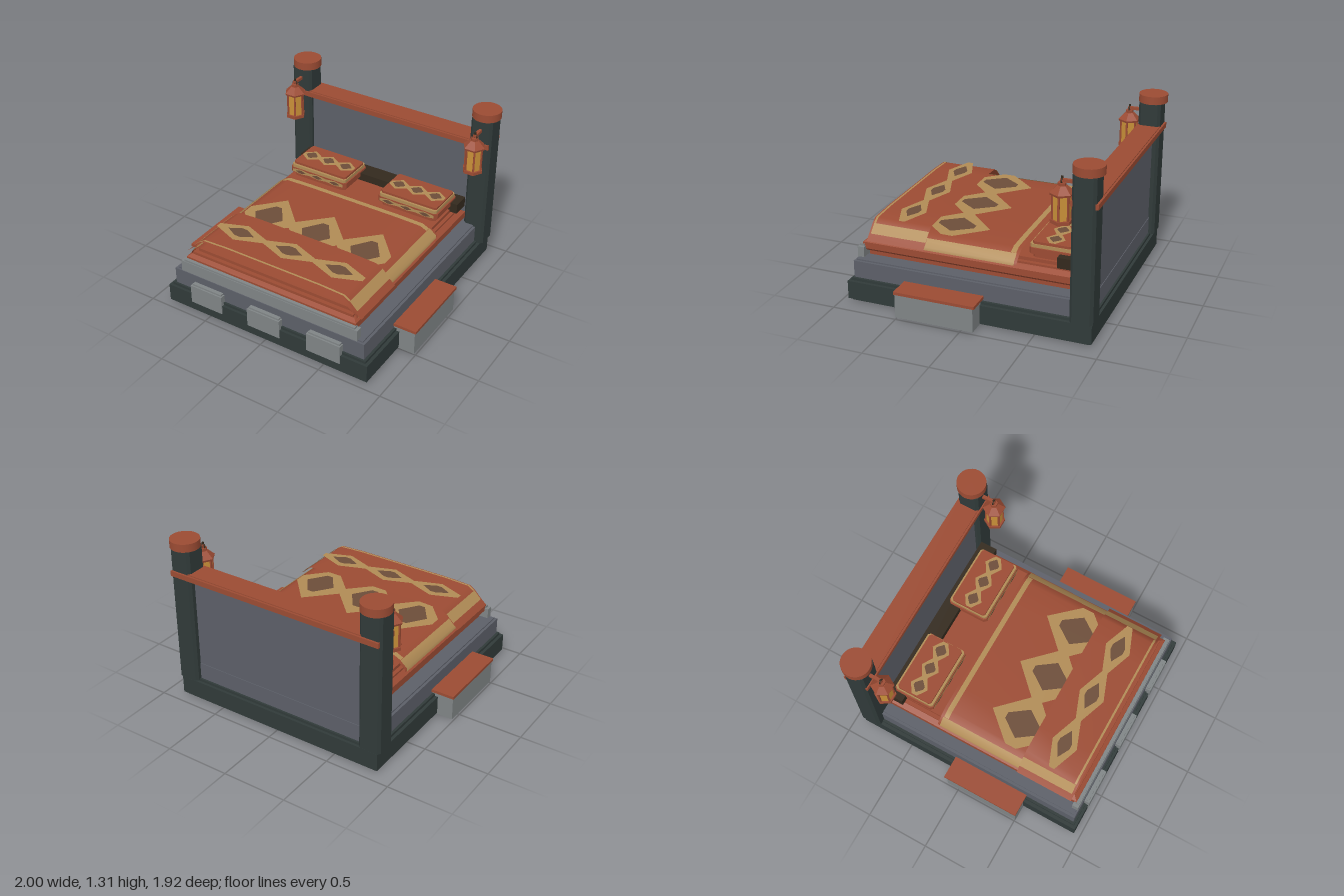
import * as THREE from 'three';

const mat = (name, color, side = THREE.FrontSide) =>
  Object.assign(new THREE.MeshStandardMaterial({ color, side }), { name });

export function createModel() {
  const root = new THREE.Group();
  root.name = 'bed';
  const dark = mat('dark stone', 0x303a39);
  const slate = mat('slate', 0x5c5f68);
  const stone = mat('light stone', 0x7f8485);
  const clay = mat('terracotta', 0x9b4b33);
  const cloth = mat('terracotta cloth', 0x9b4b33, THREE.DoubleSide);
  const tan = mat('tan weave', 0xb08b55, THREE.DoubleSide);
  const brown = mat('brown weave', 0x6c4d39, THREE.DoubleSide);
  const amber = mat('amber glass', 0xc99038);
  const shade = mat('dark wood', 0x33291d);

  const add = (name, geo, m, parent = root) => {
    const mesh = new THREE.Mesh(geo, m);
    mesh.name = name;
    parent.add(mesh);
    return mesh;
  };
  // Box given by its minimum and maximum on each axis
  const box = (name, m, x0, x1, y0, y1, z0, z1, parent = root) =>
    add(name, new THREE.BoxGeometry(x1 - x0, y1 - y0, z1 - z0)
      .translate((x0 + x1) / 2, (y0 + y1) / 2, (z0 + z1) / 2), m, parent);
  // Upright block with chamfered corners
  const block = (name, m, x, z, w, d, y0, y1, c, parent = root) => {
    const a = w / 2, b = d / 2;
    const s = new THREE.Shape([[a, b - c], [a - c, b], [c - a, b], [-a, b - c], [-a, c - b],
      [c - a, -b], [a - c, -b], [a, c - b]].map(p => new THREE.Vector2(...p)));
    const g = new THREE.ExtrudeGeometry(s, { depth: y1 - y0, bevelEnabled: false });
    return add(name, g.rotateX(-Math.PI / 2).translate(x, y0, z), m, parent);
  };
  // Thin sheet following a cross-section [x, y] and running from z0 to z1
  const sheet = (name, m, pts, z0, z1) => {
    const g = new THREE.PlaneGeometry(1, 1, pts.length - 1, 1);
    const p = g.attributes.position;
    for (let i = 0; i < p.count; i++) {
      const [x, y] = pts[i % pts.length];
      p.setXYZ(i, x, y, i < pts.length ? z0 : z1);
    }
    g.computeVertexNormals();
    return add(name, g, m);
  };
  const mirrored = half => [...half.map(([x, y]) => [-x, y]), ...half.slice().reverse()];
  // Row of linked tan diamonds with brown centres, drawn flat in XY
  const diamonds = (name, pitch, hh, neck, end, bw, bh) => {
    const g = new THREE.Group();
    g.name = name;
    const top = [[-end, neck]];
    for (let i = -1; i <= 1; i++) {
      top.push([i * pitch, hh], [i < 1 ? (i + 0.5) * pitch : end, neck]);
    }
    const outline = [...top, ...top.slice().reverse().map(([x, y]) => [x, -y])].reverse();
    add('diamond band', new THREE.ShapeGeometry(
      new THREE.Shape(outline.map(p => new THREE.Vector2(...p)))), tan, g);
    for (let i = -1; i <= 1; i++) {
      const s = [[bw, 0], [bw * 0.2, bh], [-bw * 0.2, bh], [-bw, 0], [-bw * 0.2, -bh], [bw * 0.2, -bh]];
      add('diamond centre', new THREE.ShapeGeometry(
        new THREE.Shape(s.map(p => new THREE.Vector2(...p)))).translate(i * pitch, 0, 0.003), brown, g);
    }
    root.add(g);
    return g;
  };

  // Stone base
  box('plinth', dark, -0.84, 0.84, 0, 0.18, -0.9, 0.93);
  box('plinthBand', dark, -0.865, 0.865, 0.02, 0.16, -0.92, 0.95);
  box('upperBase', slate, -0.82, 0.82, 0.17, 0.31, -0.885, 0.915);
  box('upperBaseTop', slate, -0.8, 0.8, 0.3, 0.32, -0.84, 0.9);
  box('footboard', stone, -0.76, 0.76, 0.305, 0.4, 0.86, 0.91);
  box('footboardCap', stone, -0.735, 0.735, 0.4, 0.415, 0.865, 0.905);
  for (const x of [-0.51, 0, 0.51]) {
    box('frontBlock', stone, x - 0.14, x + 0.14, 0.09, 0.24, 0.9, 0.957);
    box('frontBlockCap', stone, x - 0.13, x + 0.13, 0.24, 0.253, 0.9, 0.945);
  }

  // Headboard
  box('headboard', slate, -0.73, 0.73, 0.18, 1.03, -0.88, -0.8);
  box('headRail', clay, -0.875, 0.875, 1.025, 1.065, -0.945, -0.75);
  box('headRailCore', clay, -0.73, 0.73, 1.015, 1.072, -0.93, -0.765);
  box('headShelf', shade, -0.72, 0.72, 0.48, 0.56, -0.75, -0.615);

  // Posts, lanterns and bedside steps
  for (const s of [-1, 1]) {
    const side = new THREE.Group();
    side.name = s > 0 ? 'leftSide' : 'rightSide';
    root.add(side);
    block('post', dark, s * 0.8, -0.845, 0.175, 0.17, 0.17, 1.25, 0.02, side);
    add('postCap', new THREE.CylinderGeometry(0.11, 0.11, 0.062, 28)
      .translate(s * 0.8, 1.28, -0.853), clay, side);
    box('step', stone, s > 0 ? 0.82 : -0.99, s > 0 ? 0.99 : -0.82, 0.01, 0.196, -0.095, 0.505, side);
    box('stepSlab', clay, s > 0 ? 0.82 : -1, s > 0 ? 1 : -0.82, 0.196, 0.218, -0.11, 0.51, side);

    const lantern = new THREE.Group();
    lantern.name = 'lantern';
    lantern.position.set(s * 0.8, 0, -0.668);
    side.add(lantern);
    const hex = (name, m, rt, rb, y0, y1) => add(name,
      new THREE.CylinderGeometry(rt, rb, y1 - y0, 6).toNonIndexed()
        .rotateY(Math.PI / 6).translate(0, (y0 + y1) / 2, 0), m, lantern).geometry.computeVertexNormals();
    hex('lanternBase', clay, 0.08, 0.08, 0.87, 0.895);
    hex('lanternGlass', amber, 0.064, 0.064, 0.895, 1.08);
    hex('lanternEave', clay, 0.086, 0.082, 1.07, 1.085);
    hex('lanternRoof', clay, 0.034, 0.086, 1.085, 1.135);
    hex('lanternTop', clay, 0.03, 0.03, 1.135, 1.155);
    for (let i = 0; i < 6; i++) {
      const a = i * Math.PI / 3;
      add('lanternBar', new THREE.BoxGeometry(0.014, 0.185, 0.014).rotateY(-a)
        .translate(0.064 * Math.cos(a), 0.985, 0.064 * Math.sin(a)), clay, lantern);
    }
    add('lanternRing', new THREE.TorusGeometry(0.018, 0.005, 6, 14)
      .translate(0, 1.165, 0), shade, lantern);
    box('lanternArm', clay, -0.012, 0.012, 1.16, 1.182, -0.1, 0.01, lantern);
    box('lanternHook', shade, -0.006, 0.006, 1.15, 1.2, -0.006, 0.006, lantern);
  }

  // Mattress with its piped edge
  box('mattress', clay, -0.69, 0.69, 0.32, 0.47, -0.725, 0.85);
  box('mattressTop', clay, -0.66, 0.66, 0.47, 0.495, -0.7, 0.82);
  const piping = [[0.71, 0.36], [0.73, 0.38], [0.73, 0.43], [0.69, 0.455]];
  for (let i = 0; i < 3; i++) {
    const [[a, y0], [b, y1]] = [piping[i], piping[i + 1]];
    const g = new THREE.BoxGeometry(2, y1 - y0, 2);
    const p = g.attributes.position;
    for (let k = 0; k < p.count; k++) {
      const r = p.getY(k) > 0 ? b : a;
      p.setX(k, p.getX(k) * r);
      p.setZ(k, p.getZ(k) * (r + 0.085));
    }
    g.computeVertexNormals();
    add('mattressEdge', g.translate(0, (y0 + y1) / 2, 0.065), clay);
  }

  // Blanket and its raised fold, each with tan side borders
  const blanket = [[0.715, 0.42], [0.71, 0.46], [0.655, 0.505], [0.6, 0.53], [0.4, 0.535]];
  const fold = [[0.75, 0.45], [0.705, 0.49], [0.645, 0.55], [0.6, 0.58], [0.4, 0.589]];
  sheet('blanket', cloth, mirrored(blanket), -0.315, 0.84);
  sheet('fold', cloth, mirrored(fold), 0.385, 0.84);
  for (const s of [-1, 1]) {
    const lift = pts => pts.map(([x, y]) => [s * (x + 0.003), y + 0.004]).sort((a, b) => a[0] - b[0]);
    sheet('blanketBorder', tan, lift(blanket.slice(0, 3)), -0.295, 0.82);
    sheet('foldBorder', tan, lift(fold.slice(1, 3)), 0.385, 0.825);
  }
  const raise = (pts, n) => mirrored(pts.slice(n)).map(([x, y]) => [x, y + 0.004]);
  sheet('blanketStripe', tan, raise(blanket, 2), -0.29, -0.25);
  sheet('foldStripe', tan, raise(fold, 2), 0.812, 0.828);
  const lay = (g, x, y, z) => {
    g.rotation.x = -Math.PI / 2;
    g.position.set(x, y, z);
  };
  lay(diamonds('blanketPattern', 0.425, 0.26, 0.045, 0.62, 0.125, 0.14), 0, 0.54, 0.26);
  lay(diamonds('foldPattern', 0.425, 0.1, 0.022, 0.63, 0.115, 0.05), 0, 0.594, 0.61);

  // Pillows with woven bands
  for (const s of [-1, 1]) {
    const x = s * 0.405;
    block('pillowBottom', clay, x, -0.55, 0.47, 0.29, 0.49, 0.53, 0.02);
    block('pillowMiddle', clay, x, -0.55, 0.52, 0.33, 0.53, 0.575, 0.02);
    block('pillowTrim', tan, x, -0.55, 0.498, 0.32, 0.575, 0.6, 0.015);
    block('pillowTop', clay, x, -0.55, 0.485, 0.285, 0.595, 0.618, 0.015);
    lay(diamonds('pillowPattern', 0.16, 0.072, 0.022, 0.235, 0.055, 0.042), x, 0.621, -0.55);
    diamonds('pillowFrontPattern', 0.16, 0.021, 0.012, 0.235, 0.05, 0.014)
      .position.set(x, 0.552, -0.382);
  }
  return root;
}
